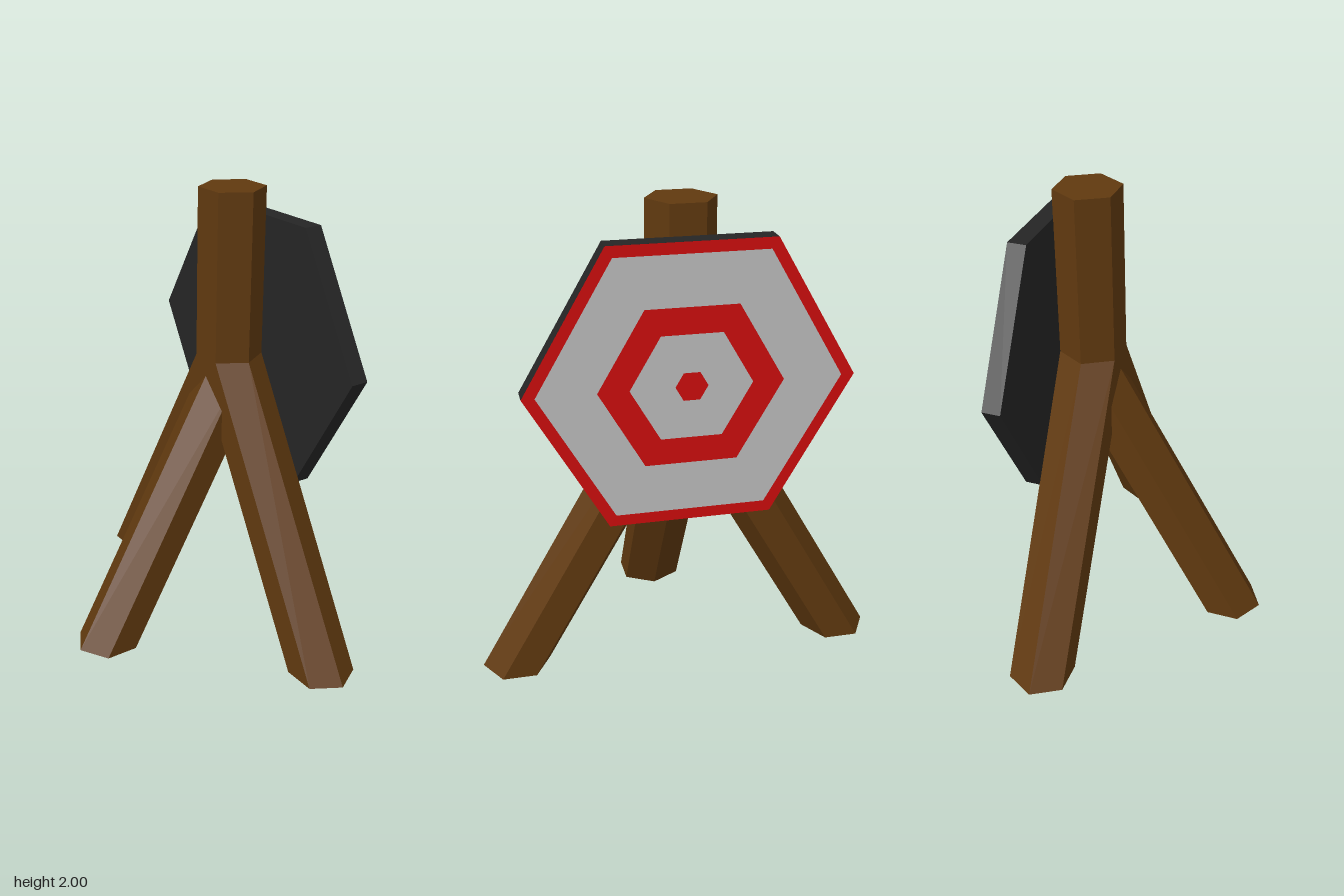
import * as THREE from 'three';

const mat = (name, color, extra = {}) => {
  const m = new THREE.MeshStandardMaterial({ color, ...extra });
  m.name = name;
  return m;
};

const POST_X = 0.295;   // axis of the upright post
const BEAM_R = 0.144;   // hexagon radius of every beam

export function createModel() {
  const wood = mat('brown wood', 0x60390f, { flatShading: true });
  const black = mat('black board', 0x252525, { flatShading: true });
  const red = mat('red paint', 0xd00d0d);
  const grey = mat('light grey paint', 0xc0c0c0);

  const model = new THREE.Group();
  model.name = 'targetStand';
  const add = (name, geometry, material) => {
    const mesh = new THREE.Mesh(geometry, material);
    mesh.name = name;
    model.add(mesh);
  };

  // Hexagonal beam with level ends, sheared between two centre points
  const beam = (from, to, turn = 0) => {
    const h = to.y - from.y;
    const g = new THREE.CylinderGeometry(BEAM_R, BEAM_R, h, 6).toNonIndexed();
    g.rotateY(turn);
    g.translate(0, h / 2, 0);
    const p = g.attributes.position;
    for (let i = 0; i < p.count; i++) {
      const t = p.getY(i) / h;
      p.setXYZ(i,
        p.getX(i) + THREE.MathUtils.lerp(from.x, to.x, t),
        p.getY(i) + from.y,
        p.getZ(i) + THREE.MathUtils.lerp(from.z, to.z, t));
    }
    g.computeVertexNormals();
    return g;
  };
  const v = (x, y, z) => new THREE.Vector3(x, y, z);

  // Post and the three splayed legs
  add('post', beam(v(POST_X, 1.26, 0), v(POST_X, 2, 0)), wood);
  for (const s of [1, -1]) {
    add(s > 0 ? 'frontLeg' : 'rearLeg',
      beam(v(POST_X, 0, s * 0.72), v(POST_X, 1.26, 0)), wood);
  }
  add('supportLeg', beam(v(-0.36, 0, 0), v(0.315, 1.18, 0), Math.PI / 2), wood);

  // Hexagonal target board
  const board = new THREE.CylinderGeometry(0.665, 0.665, 0.08, 6);
  board.rotateZ(-Math.PI / 2);
  board.translate(0.459, 1.3, 0);
  add('board', board, black);

  // Painted rings, from the rim to the bullseye
  const radii = [0.665, 0.612, 0.373, 0.247, 0.066, 0];
  for (let i = 0; i < 5; i++) {
    const g = i < 4
      ? new THREE.RingGeometry(radii[i + 1], radii[i], 6, 1)
      : new THREE.CircleGeometry(radii[i], 6);
    g.rotateY(Math.PI / 2);
    g.translate(0.5, 1.3, 0);
    add(i < 4 ? `targetRing${i + 1}` : 'bullseye', g, i % 2 ? grey : red);
  }
  return model;
}
